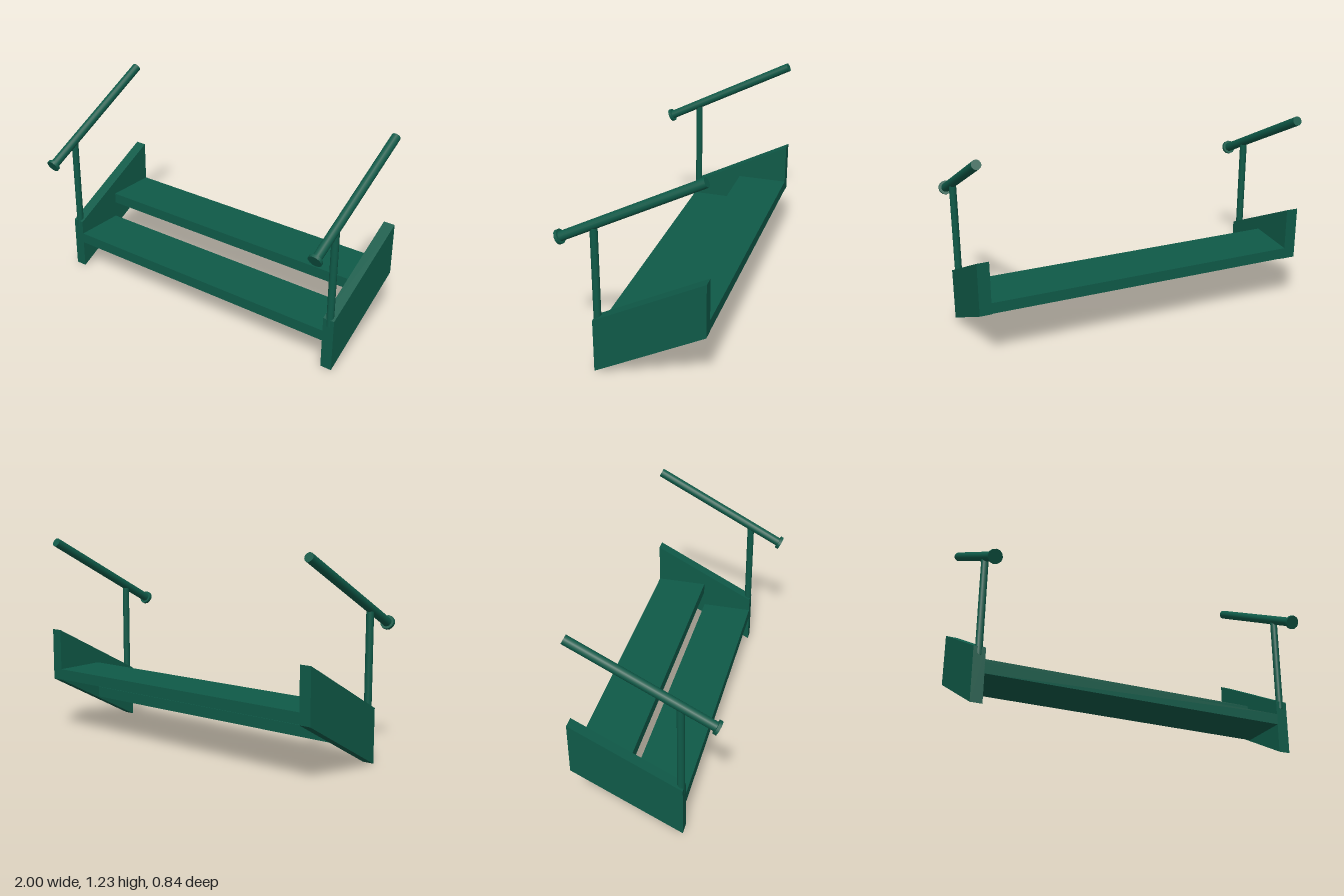
import * as THREE from 'three';

export function createModel() {
  const group = new THREE.Group();
  const green = new THREE.MeshStandardMaterial({ color: 0x0f5a48 });

  const add = (name, geometry, x, y, z) => {
    const mesh = new THREE.Mesh(geometry, green);
    mesh.name = name;
    mesh.position.set(x, y, z);
    group.add(mesh);
    return mesh;
  };

  // Cylinder between two points in a plane of constant x
  const rod = (name, x, [y0, z0], [y1, z1], radius, sides) => {
    const a = new THREE.Vector3(x, y0, z0);
    const b = new THREE.Vector3(x, y1, z1);
    const dir = b.clone().sub(a);
    const mid = a.clone().add(b).multiplyScalar(0.5);
    const mesh = add(name, new THREE.CylinderGeometry(radius, radius, dir.length(), sides), mid.x, mid.y, mid.z);
    mesh.quaternion.setFromUnitVectors(new THREE.Vector3(0, 1, 0), dir.normalize());
  };

  // Two treads spanning the stringers
  const front = 0.217, back = -0.423, sideX = 0.958, thick = 0.07;
  add('lowerTread', new THREE.BoxGeometry(1.85, 0.066, 0.318), 0, 0.207, 0.058);
  add('upperTread', new THREE.BoxGeometry(1.85, 0.066, 0.318), 0, 0.373, -0.264);

  // Slanted stringer outline, drawn in (-z, y) and extruded along x
  const outline = new THREE.Shape([
    new THREE.Vector2(-front, 0),
    new THREE.Vector2(-back, 0.337),
    new THREE.Vector2(-back, 0.658),
    new THREE.Vector2(-front, 0.325),
  ]);
  const stringer = new THREE.ExtrudeGeometry(outline, { depth: thick, bevelEnabled: false });
  stringer.translate(0, 0, -thick / 2).rotateY(Math.PI / 2);

  for (const [side, s] of [['left', 1], ['right', -1]]) {
    const x = s * sideX;
    add(side + 'Stringer', stringer, x, 0, 0);
    rod(side + 'Post', x, [0.28, 0.199], [0.885, 0.199], 0.0215, 12);
    // Sloping handrail with a round cap on its lower end
    rod(side + 'Handrail', x, [0.79, 0.395], [1.21, -0.408], 0.0275, 16);
    rod(side + 'HandrailCap', x, [0.786, 0.403], [0.794, 0.387], 0.042, 12);
  }
  return group;
}
